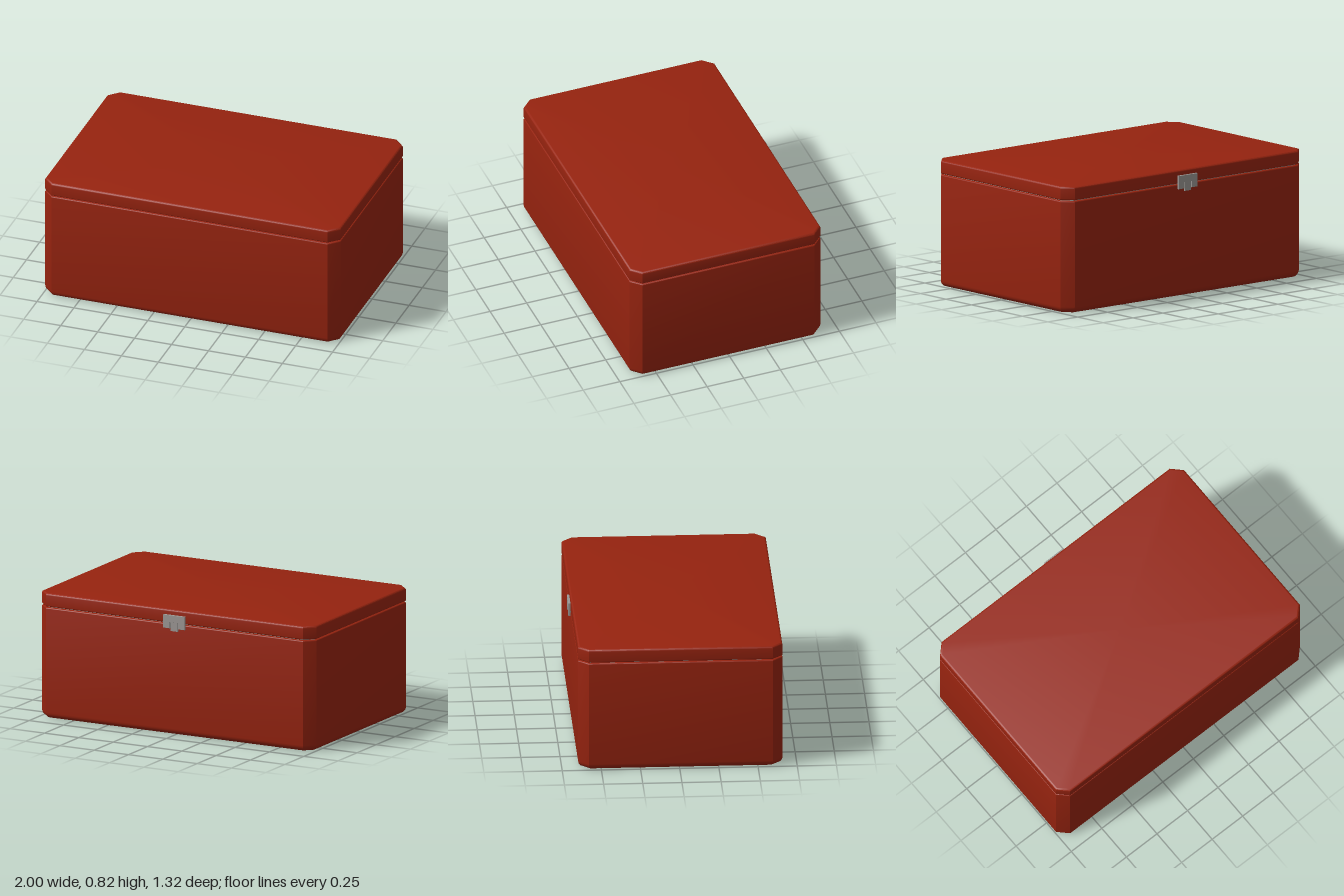
import * as THREE from 'three';
import { toCreasedNormals } from 'three/addons/utils/BufferGeometryUtils.js';

const HALF_X = 1, HALF_Z = 0.652, CHAMFER = 0.065, CENTRE_Z = 0.007;

// Rectangle with cut corners, shrunk evenly by d, anticlockwise from above
function ring(y, d) {
  const x = HALF_X - d, z = HALF_Z - d, c = CHAMFER - d * 0.586;
  return [
    [x, z - c], [x, -z + c], [x - c, -z], [-x + c, -z],
    [-x, -z + c], [-x, z - c], [-x + c, z], [x - c, z],
  ].map(([px, pz]) => [px, y, pz]);
}

// Closed solid through rings given as [height, inset] from bottom to top
function loft(profile) {
  const rings = profile.map(([y, d]) => ring(y, d));
  const pos = [];
  const tri = (...pts) => pts.forEach((p) => pos.push(...p));
  const last = rings.length - 1;
  for (let i = 0; i < 8; i++) {
    const j = (i + 1) % 8;
    for (let k = 0; k < last; k++) {
      const lo = rings[k], hi = rings[k + 1];
      tri(lo[i], lo[j], hi[j]);
      tri(lo[i], hi[j], hi[i]);
    }
    tri([0, profile[0][0], 0], rings[0][j], rings[0][i]);
    tri([0, profile[last][0], 0], rings[last][i], rings[last][j]);
  }
  const geo = new THREE.BufferGeometry();
  geo.setAttribute('position', new THREE.Float32BufferAttribute(pos, 3));
  return toCreasedNormals(geo, 0.6);
}

// Profile with a rounded lower and upper edge
function roundedProfile(y0, y1, r0, r1, steps = 5) {
  const pts = [];
  for (let i = 0; i <= steps; i++) {
    const a = (i / steps) * Math.PI / 2;
    pts.push([y0 + r0 * (1 - Math.cos(a)), r0 * (1 - Math.sin(a))]);
  }
  for (let i = 0; i <= steps; i++) {
    const a = (i / steps) * Math.PI / 2;
    pts.push([y1 - r1 * (1 - Math.sin(a)), r1 * (1 - Math.cos(a))]);
  }
  return pts;
}

export function createModel() {
  const model = new THREE.Group();
  model.name = 'box';
  const red = new THREE.MeshStandardMaterial({ color: 0x96230f });
  red.name = 'red paint';
  const grey = new THREE.MeshStandardMaterial({ color: 0x9a9693 });
  grey.name = 'grey metal';

  const add = (name, geo, mat, parent = model) => {
    const mesh = new THREE.Mesh(geo, mat);
    mesh.name = name;
    parent.add(mesh);
    return mesh;
  };

  // Box, lid and the lip showing in the seam
  const shell = new THREE.Group();
  shell.name = 'shell';
  shell.position.z = CENTRE_Z;
  model.add(shell);
  add('body', loft(roundedProfile(0, 0.727, 0.04, 0.008)), red, shell);
  add('lid', loft(roundedProfile(0.733, 0.82, 0.008, 0.014)), red, shell);
  add('lip', loft([[0.71, 0.02], [0.75, 0.02]]), grey, shell);

  // Latch on the back: a plate notched around a hanging tab
  const latch = new THREE.Group();
  latch.name = 'latch';
  latch.position.set(-0.003, 0, -0.645);
  model.add(latch);
  const plate = new THREE.Shape([
    [-0.077, 0.785], [-0.077, 0.7], [-0.032, 0.7], [-0.032, 0.74],
    [0.032, 0.74], [0.032, 0.7], [0.077, 0.7], [0.077, 0.785],
  ].map(([x, y]) => new THREE.Vector2(x, y)));
  const plateGeo = new THREE.ExtrudeGeometry(plate, {
    depth: 0.012, bevelEnabled: true, bevelThickness: 0.002, bevelSize: 0.001, bevelSegments: 1,
  });
  add('latchPlate', plateGeo, grey, latch).position.z = -0.0125;
  const tab = add('latchTab', new THREE.BoxGeometry(0.05, 0.065, 0.012), grey, latch);
  tab.position.set(0, 0.7145, -0.005);
  return model;
}
